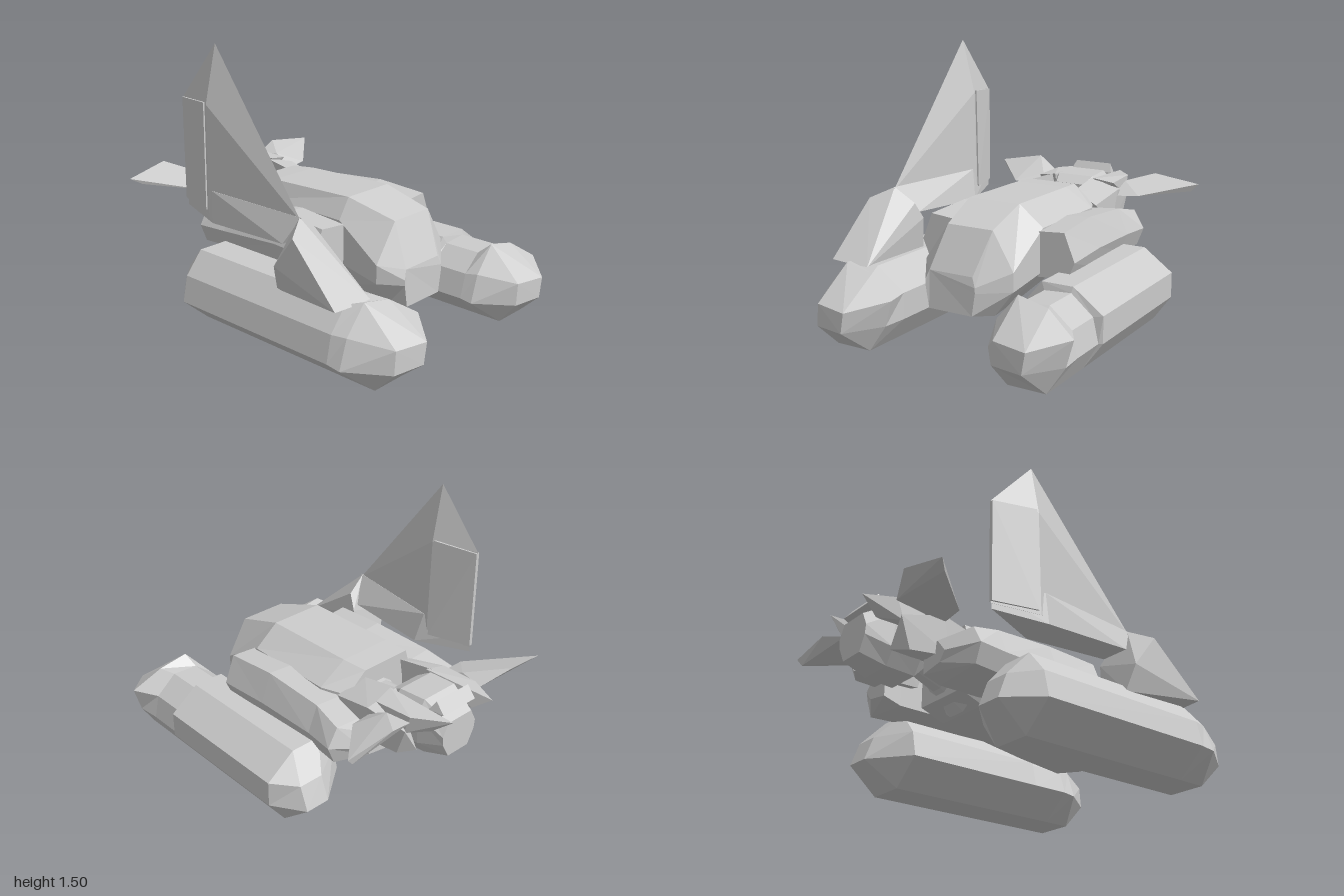
import * as THREE from 'three';
import { ConvexGeometry } from 'three/addons/geometries/ConvexGeometry.js';

const grey = new THREE.MeshStandardMaterial({ color: 0xcccccc, flatShading: true, side: THREE.DoubleSide });

function addMesh(group, name, geometry) {
  const mesh = new THREE.Mesh(geometry, grey);
  mesh.name = name;
  group.add(mesh);
}

// Convex faceted solid from its corners
function hull(points) {
  return new ConvexGeometry(points.map((p) => new THREE.Vector3(...p)));
}

const same = (a, b) => a.every((v, i) => v === b[i]);

// Skin over rings of [x, y, z] points with closed ends, wound outward
function loft(rings) {
  const n = rings[0].length;
  let tris = [];
  for (let r = 0; r < rings.length - 1; r++) {
    for (let i = 0; i < n; i++) {
      const j = (i + 1) % n;
      const a = rings[r][i], b = rings[r][j], c = rings[r + 1][j], d = rings[r + 1][i];
      tris.push([a, b, c], [a, c, d]);
    }
  }
  const first = rings[0], last = rings[rings.length - 1];
  for (let i = 1; i < n - 1; i++) {
    tris.push([first[0], first[i + 1], first[i]], [last[0], last[i], last[i + 1]]);
  }
  tris = tris.filter(([a, b, c]) => !same(a, b) && !same(b, c) && !same(a, c));
  let volume = 0;
  for (const [a, b, c] of tris) {
    volume += new THREE.Vector3(...a).dot(new THREE.Vector3(...b).cross(new THREE.Vector3(...c)));
  }
  if (volume < 0) tris.forEach((t) => t.reverse());
  const geometry = new THREE.BufferGeometry();
  geometry.setAttribute('position', new THREE.Float32BufferAttribute(tris.flat(2), 3));
  geometry.computeVertexNormals();
  return geometry;
}

const mirror = (points, s) => points.map(([x, y, z]) => [s * x, y, z]);

// Eight-sided pontoon with four-cornered ends; the notched one narrows behind its nose
function pontoon(shift, notched, rearX, noseZ) {
  const main = [[.4, .4], [.575, .4], [.74, .28], [.74, .14], [.64, 0], [.43, 0], [.27, .14], [.3, .28]];
  const slim = [[.42, .36], [.57, .37], [.69, .27], [.72, .14], [.64, 0], [.43, 0], [.27, .14], [.31, .27]];
  const nose = [[.44, .42], [.61, .385], [.77, .28], [.73, .14], [.64, 0], [.43, 0], [.27, .13], [.32, .28]];
  const noseRingZ = [.76, .77, .82, .82, .84, .84, .76, .76];
  const ring = (section, z) => section.map(([x, y]) => [x + shift, y, z]);
  const noseRing = nose.map(([x, y], i) => [x + shift, y, noseRingZ[i]]);
  // each corner of an end is shared by two points of the ring
  const end = (corners) => [0, 1, 1, 2, 2, 3, 3, 0].map((k) => {
    const [x, y, z] = corners[k];
    return [x + shift, y, z];
  });
  const rings = [
    end([[rearX, .27, -.48], [rearX + .14, .27, -.48], [rearX + .14, .14, -.53], [rearX, .14, -.53]]),
    ring(main, -.36),
  ];
  if (notched) rings.push(ring(main, .47), ring(slim, .48), ring(slim, .69));
  else rings.push(ring(main, .68));
  rings.push(noseRing, end([[.42, .25, noseZ - .03], [.61, .24, noseZ], [.59, .13, noseZ], [.41, .13, noseZ - .03]]));
  return loft(rings);
}

// Hood-shaped body, ring order: top pair, right side, bottom pair, left side
function body() {
  const ring = (z, top, shoulder, low, bottom, xt0, xt1, w0, w1) => [
    [xt0, top, z], [xt1, top, z], [w1, shoulder, z], [w1, low, z],
    [.17, bottom, z], [-.16, bottom, z], [w0, low, z], [w0, shoulder, z],
  ];
  return loft([
    ring(-.4, .7, .6, .44, .36, -.19, .11, -.22, .23),
    ring(-.26, .71, .61, .42, .31, -.18, .13, -.22, .295),
    ring(.27, .72, .61, .38, .23, -.16, .15, -.23, .29),
    ring(.54, .64, .44, .34, .2, -.11, .16, -.25, .28),
    [[-.15, .42, .65], [.11, .42, .65], [.13, .37, .66], [.13, .34, .66],
      [.11, .22, .66], [-.15, .22, .66], [-.17, .34, .66], [-.17, .37, .66]],
  ]);
}

export function createModel() {
  const model = new THREE.Group();
  model.name = 'craft';

  addMesh(model, 'leftPontoon', pontoon(0, true, .49, .98));
  addMesh(model, 'rightPontoon', pontoon(-1.035, false, .42, 1));
  addMesh(model, 'body', body());

  // Shoulders, the rear arms beside the head, and the swept ears
  for (const s of [1, -1]) {
    const side = s > 0 ? 'left' : 'right';
    const w = s > 0 ? 0 : -.04;
    const shoulder = (z, top, waist, low, x) => [
      [.17, top - .02, z], [x - .06, top, z], [x, waist, z], [x - .04, low, z], [.17, low - .02, z],
    ];
    addMesh(model, side + 'Shoulder', loft([
      shoulder(.3, .61, .46, .37, .49 + w),
      shoulder(0, .63, .47, .36, .48 + w),
      shoulder(-.36, .6, .46, .36, .47),
      shoulder(-.53, .56, .46, .36, .49),
      shoulder(-.63, .51, .44, .39, .34),
    ].map((r) => mirror(r, s))));
    const inner = s > 0 ? .11 : .15;
    addMesh(model, side + 'Arm', hull(mirror([
      [inner, .66, -.4], [.27, .6, -.36], [.14, .45, -.45], [.28, .45, -.55],
      [inner, .7, -.62], [.29, .65, -.6], [.25, .6, -.82], [.24, .44, -.76], [.16, .45, -.82],
    ], s)));
    addMesh(model, side + 'Spike', hull(mirror([
      [.13, .7, -.6], [.25, .68, -.62], [.24, .69, -.84], [s > 0 ? .11 : .18, .68, -1],
      [.15, .6, -.9], [.24, .58, -.8], [.14, .58, -.65],
    ], s)));
    addMesh(model, side + 'Ear', hull(mirror(s > 0
      ? [[.24, .66, -.84], [.26, .61, -.6], [.41, .62, -.62], [.4, .71, -.88],
        [.68, .675, -.87], [.64, .63, -.86], [.28, .68, -.72]]
      : [[.26, .66, -.86], [.27, .62, -.59], [.41, .63, -.6], [.42, .735, -.93],
        [.68, .69, -.9], [.63, .66, -.85], [.28, .67, -.72]], s)));
  }

  // Neck flaring into the rear of the body
  const neckRing = (z, x, y, r) => Array.from({ length: 10 }, (_, i) => {
    const a = (i / 10) * Math.PI * 2;
    return [x + r * Math.cos(a), y + r * Math.sin(a), z];
  });
  addMesh(model, 'neck', loft([
    neckRing(-.3, 0, .46, .17), neckRing(-.42, .01, .5, .1), neckRing(-.66, .02, .56, .06),
  ]));

  // Boxy head with a tapering rear and a raised brow
  const headRing = (z, top, low, w) => [
    [-w * .7, top, z], [w * .7, top, z], [w, top - .07, z],
    [w * .95, low + .08, z], [w * .6, low, z], [-w * .6, low, z], [-w * .95, low + .08, z], [-w, top - .07, z],
  ].map(([x, y, zz]) => [x - .012, y, zz]);
  addMesh(model, 'head', loft([
    headRing(-.57, .66, .45, .13), headRing(-.64, .7, .38, .16),
    headRing(-.8, .71, .39, .155), headRing(-.94, .63, .43, .12),
  ]));
  addMesh(model, 'brow', hull([
    [-.15, .69, -.85], [.12, .69, -.85], [-.13, .74, -.88], [.1, .74, -.88],
    [-.13, .68, -.93], [.1, .68, -.93], [-.14, .64, -.84], [.12, .64, -.84],
  ]));

  // Wedge pod on the right pontoon, and the keel behind it that carries the fin
  addMesh(model, 'finPod', hull([
    [-.74, .4, .71], [-.5, .39, .72], [-.72, .68, .42], [-.6, .74, .35],
    [-.48, .66, .33], [-.46, .57, .28], [-.71, .5, .28], [-.66, .36, .25], [-.49, .36, .25],
  ]));
  addMesh(model, 'finKeel', hull([
    [-.6, .74, .36], [-.49, .6, .28], [-.65, .6, .28], [-.455, .58, -.22], [-.645, .58, -.24],
    [-.565, .6, -.53], [-.49, .75, -.25], [-.635, .75, -.25], [-.565, .7, -.53],
  ]));

  // Tall diamond-section fin with its rear rudder panel
  addMesh(model, 'fin', hull([
    [-.6, .72, .36], [-.565, 1.505, -.27], [-.565, 1.2, -.535], [-.565, .63, -.535],
    [-.495, 1.2, -.28], [-.63, 1.2, -.28], [-.485, .62, -.28], [-.635, .62, -.28],
  ]));
  addMesh(model, 'rudder', hull([
    [-.49, 1.21, -.295], [-.635, 1.21, -.295], [-.48, .64, -.295], [-.64, .64, -.295],
    [-.555, 1.195, -.535], [-.575, 1.195, -.535], [-.555, .64, -.535], [-.575, .64, -.535],
  ]));

  return model;
}
